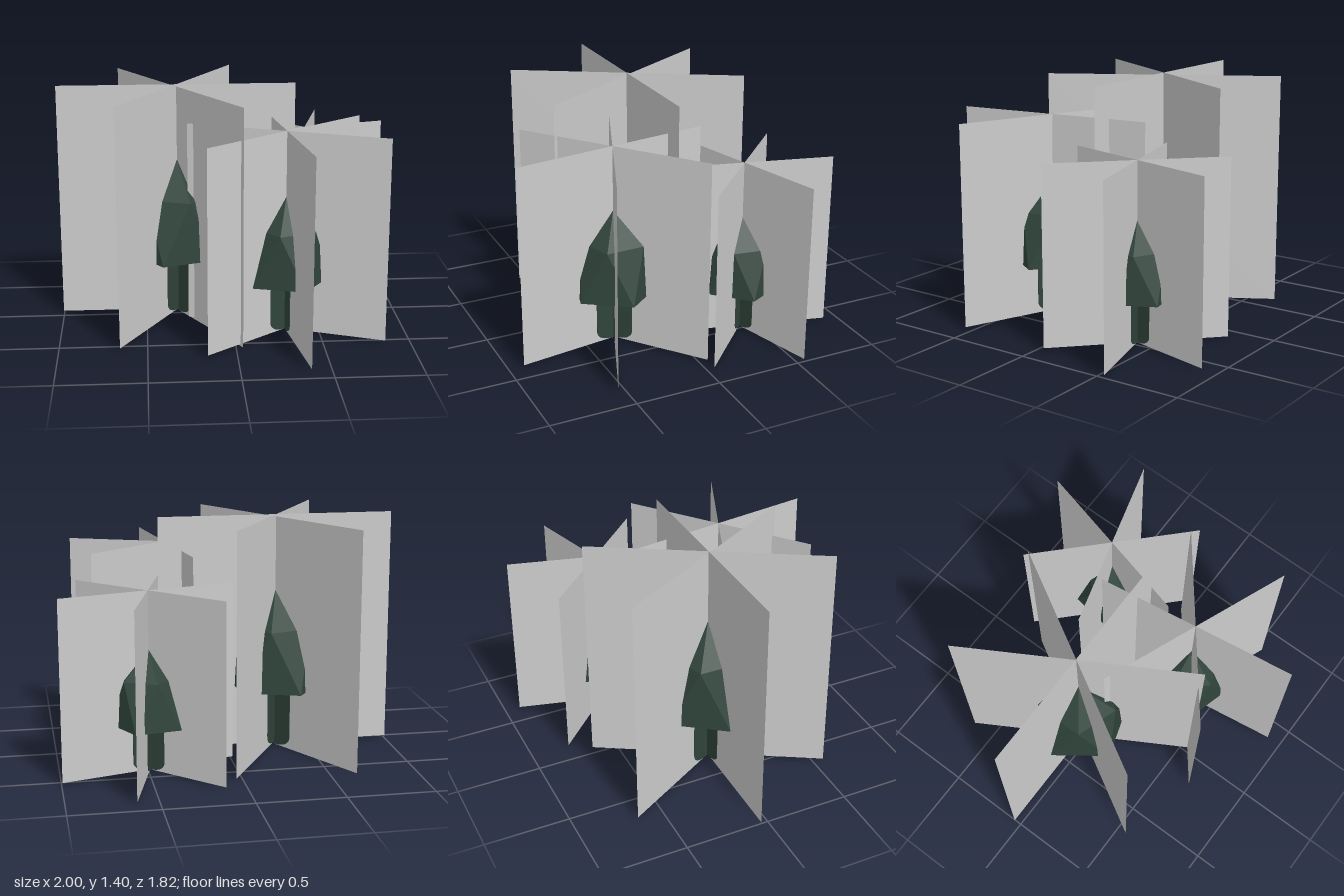
import * as THREE from 'three';

const cardMaterial = new THREE.MeshStandardMaterial({ color: 0xcccccc, side: THREE.DoubleSide });
cardMaterial.name = 'pale grey card';
const leafMaterial = new THREE.MeshStandardMaterial({ color: 0x30443b, side: THREE.DoubleSide, flatShading: true });
leafMaterial.name = 'dark green';

// Faceted five-sided crown: apex, shoulder ring and a wider skirt turned half a step
function crownGeometry(h) {
  const ring = (r, y, turn) => (i) => {
    const a = (i + turn) * Math.PI * 2 / 5;
    return [r * h * Math.cos(a), y * h, r * h * Math.sin(a)];
  };
  const shoulder = ring(0.16, 0.525, 0);
  const skirt = ring(0.215, 0.268, 0.5);
  const apex = [0, 0.677 * h, 0];
  const p = [];
  for (let i = 0; i < 5; i++) {
    p.push(...apex, ...shoulder(i + 1), ...shoulder(i));
    p.push(...shoulder(i + 1), ...skirt(i), ...shoulder(i));
    p.push(...shoulder(i), ...skirt(i), ...skirt(i - 1));
  }
  const g = new THREE.BufferGeometry();
  g.setAttribute('position', new THREE.Float32BufferAttribute(p, 3));
  g.computeVertexNormals();
  return g;
}

// Flat trunk silhouette with a rounded foot, a thin plate around its card
function trunkGeometry(h) {
  const w = 0.097 * h, top = 0.3 * h, foot = 0.055 * h;
  const s = new THREE.Shape();
  s.moveTo(-w, top);
  s.lineTo(-w, foot);
  s.bezierCurveTo(-w, 0.02 * h, -w * 0.6, 0.002, 0, 0.002);
  s.bezierCurveTo(w * 0.6, 0.002, w, 0.02 * h, w, foot);
  s.lineTo(w, top);
  s.closePath();
  return new THREE.ExtrudeGeometry(s, { depth: 0.006, bevelEnabled: false, curveSegments: 8 })
    .translate(0, 0, -0.003);
}

// One tree: three crossed cards, matching trunk plates and the crown
function makeTree(name, x, z, h, degrees, drop) {
  const tree = new THREE.Group();
  tree.name = name;
  tree.position.set(x, 0.013, z);
  tree.rotation.y = -THREE.MathUtils.degToRad(degrees);
  const height = h - 0.013;
  const cardGeo = new THREE.PlaneGeometry(h * 0.994, height).translate(0, height / 2, 0);
  const trunkGeo = trunkGeometry(h);
  for (let i = 0; i < 3; i++) {
    const pair = new THREE.Group();
    pair.name = 'crossedCard' + (i + 1);
    pair.rotation.y = -i * Math.PI / 3;
    pair.position.y = i === 1 ? -drop : 0;
    const card = new THREE.Mesh(cardGeo, cardMaterial);
    card.name = 'card';
    const trunk = new THREE.Mesh(trunkGeo, leafMaterial);
    trunk.name = 'trunk';
    pair.add(card, trunk);
    tree.add(pair);
  }
  const crown = new THREE.Mesh(crownGeometry(h), leafMaterial);
  crown.name = 'crown';
  crown.position.y = -0.01;
  tree.add(crown);
  return tree;
}

export function createModel() {
  const model = new THREE.Group();
  model.name = 'treeCluster';
  model.add(
    makeTree('tallTree', -0.308, -0.043, 1.4, 0, 0.013),
    makeTree('middleTree', 0.302, 0.322, 1.2, -38.2, 0),
    makeTree('smallTree', 0.492, -0.405, 1.05, 44.5, 0),
  );
  return model;
}
